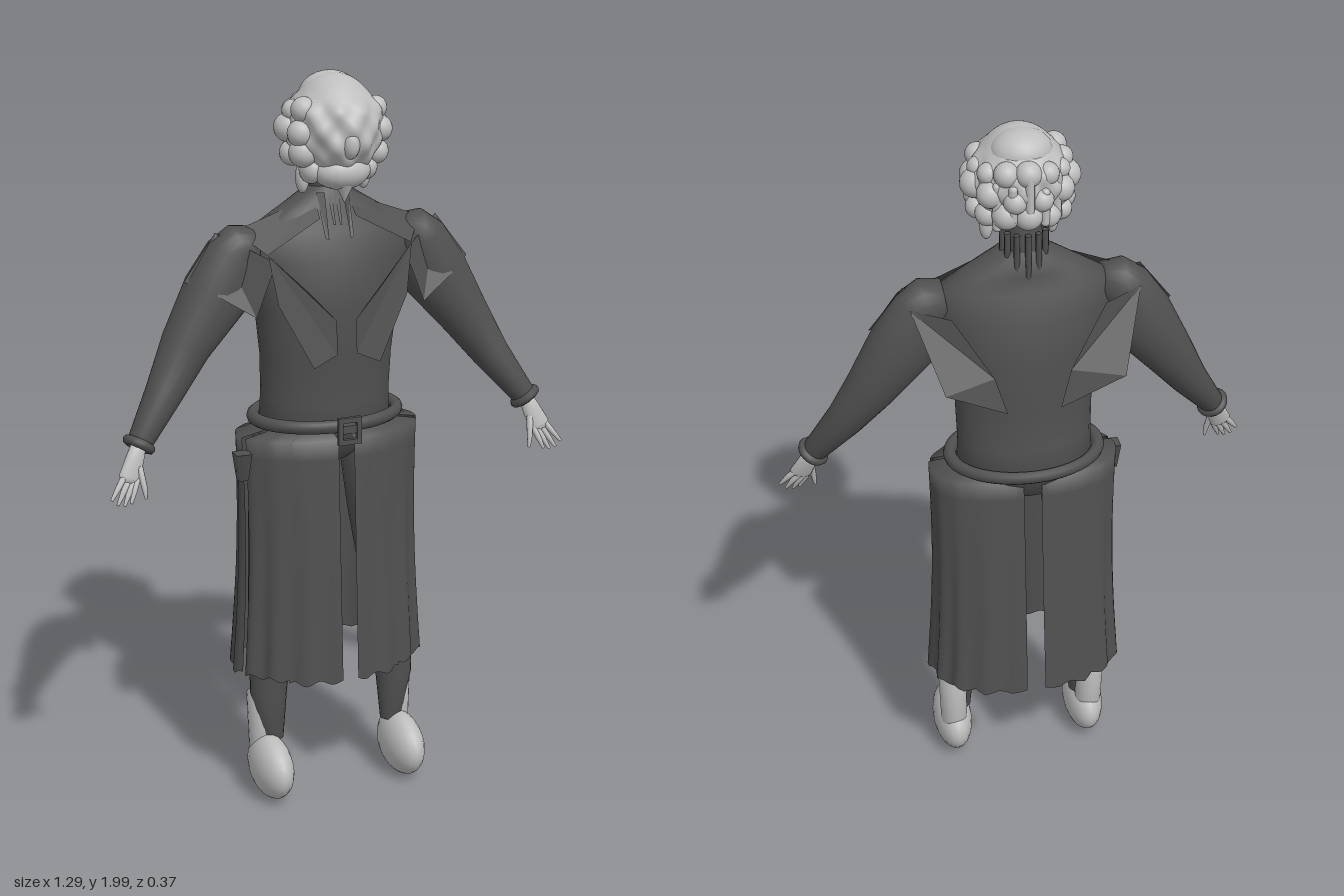
import * as THREE from 'three';

const light = new THREE.MeshStandardMaterial({ color: 0xbebebe });
light.name = 'pale grey';
const dark = new THREE.MeshStandardMaterial({ color: 0x505050, side: THREE.DoubleSide });
dark.name = 'dark cloth';

const V = (x, y, z) => new THREE.Vector3(x, y, z);

export function createModel() {
  const root = new THREE.Group();
  const add = (name, geo, mat, parent = root) => {
    const m = new THREE.Mesh(geo, mat);
    m.name = name;
    parent.add(m);
    return m;
  };

  // Closed tube through rows of [x, y, z, widthRadius, depthRadius]
  function loft(rows, n = 20, s = 1) {
    const c = rows.map(r => V(r[0] * s, r[1], r[2]));
    const pos = [], idx = [];
    rows.forEach((r, i) => {
      const t = c[Math.min(i + 1, c.length - 1)].clone().sub(c[Math.max(i - 1, 0)]).normalize();
      const u = t.clone().cross(V(0, 0, 1)).normalize();
      const v = t.clone().cross(u);
      for (let j = 0; j < n; j++) {
        const a = (j / n) * Math.PI * 2;
        const p = c[i].clone().addScaledVector(u, Math.cos(a) * r[3]).addScaledVector(v, Math.sin(a) * r[4]);
        pos.push(p.x, p.y, p.z);
        if (i < rows.length - 1) {
          const k = (j + 1) % n, A = i * n + j, B = i * n + k;
          idx.push(A, B, B + n, A, B + n, A + n);
        }
      }
    });
    const last = (rows.length - 1) * n, e = rows.length * n;
    pos.push(...c[0].toArray(), ...c[c.length - 1].toArray());
    for (let j = 0; j < n; j++) {
      const k = (j + 1) % n;
      idx.push(e, k, j, e + 1, last + j, last + k);
    }
    const g = new THREE.BufferGeometry();
    g.setAttribute('position', new THREE.Float32BufferAttribute(pos, 3));
    g.setIndex(idx);
    g.computeVertexNormals();
    return g;
  }

  // Flat cloth sheet from a fan of corners
  function sheet(pts, s = 1) {
    const pos = [];
    for (let i = 1; i < pts.length - 1; i++)
      for (const p of [pts[0], pts[i], pts[i + 1]]) pos.push(p[0] * s, p[1], p[2]);
    const g = new THREE.BufferGeometry();
    g.setAttribute('position', new THREE.Float32BufferAttribute(pos, 3));
    g.computeVertexNormals();
    return g;
  }

  const ball = (x, y, z, rx, ry = rx, rz = rx) =>
    new THREE.SphereGeometry(1, 20, 14).scale(rx, ry, rz).translate(x, y, z);

  // Coat body and neck
  add('coatBody', loft([
    [0, 0.95, 0, 0.05, 0.05], [0, 1.0, -0.01, 0.15, 0.1], [0, 1.08, -0.022, 0.182, 0.132],
    [0, 1.14, -0.018, 0.18, 0.122], [0, 1.25, -0.01, 0.183, 0.122], [0, 1.4, -0.005, 0.2, 0.128],
    [0, 1.52, -0.005, 0.235, 0.11], [0, 1.59, -0.005, 0.23, 0.08], [0, 1.64, -0.01, 0.15, 0.065],
    [0, 1.7, -0.015, 0.05, 0.05],
  ], 32), dark);
  add('neck', loft([[0, 1.6, -0.015, 0.052, 0.052], [0, 1.8, -0.01, 0.045, 0.045]], 16), dark);
  for (let i = 0; i < 7; i++) {
    const a = (i / 6) * Math.PI, x = Math.cos(a) * 0.056, z = -0.02 - Math.sin(a) * 0.05;
    add('neckStrand', new THREE.CylinderGeometry(0.009, 0.007, 0.15, 6).translate(x, 1.675, z), dark);
  }

  // Belt and buckle
  const belt = add('belt', new THREE.TorusGeometry(0.2, 0.018, 10, 48).rotateX(Math.PI / 2), dark);
  belt.scale.set(1, 1, 0.72);
  belt.position.set(0, 1.08, -0.017);
  for (const y of [1.045, 1.105]) add('buckleBar', new THREE.BoxGeometry(0.065, 0.014, 0.012).translate(0, y, 0.158), dark);
  for (const x of [-0.026, 0.026]) add('buckleSide', new THREE.BoxGeometry(0.013, 0.06, 0.012).translate(x, 1.075, 0.158), dark);
  add('bucklePin', new THREE.BoxGeometry(0.05, 0.022, 0.05).translate(0, 1.078, 0.135), dark);
  add('pouch', new THREE.CylinderGeometry(0.03, 0.018, 0.075, 4, 1).rotateY(Math.PI / 4).translate(-0.262, 0.975, 0.05), dark);

  // Skirt panel between two angles measured from the front
  function skirt(a0, a1, hem, s) {
    const g = new THREE.PlaneGeometry(1, 1, 24, 14), p = g.attributes.position;
    for (let i = 0; i < p.count; i++) {
      const u = p.getX(i) + 0.5, v = 0.5 - p.getY(i);
      const a = a0 + (a1 - a0) * u;
      const tuck = v < 0.01 ? 0.62 : 1;
      const fold = 1 + 0.025 * v * Math.sin(a * 17);
      const sn = Math.sin(a), cs = Math.cos(a), front = cs > 0;
      const pw = front ? 1.05 : 0.85;
      const x = Math.pow(Math.max(sn, 0), pw) * (0.258 + 0.012 * v - 0.012 * Math.sin(v * Math.PI));
      const zr = front ? 0.135 + 0.035 * v : 0.125 + 0.058 * v;
      const z = Math.sign(cs) * Math.pow(Math.abs(cs), pw) * zr;
      const y = 1.06 - Math.max(0, v - 0.05) * (1.06 - hem) / 0.95 + 0.006 * v * Math.sin(a * 23);
      p.setXYZ(i, s * Math.max(x * fold * tuck, 0.022), y, z * fold * tuck);
    }
    g.computeVertexNormals();
    return g;
  }

  for (const s of [1, -1]) {
    const side = new THREE.Group();
    side.name = s > 0 ? 'leftSide' : 'rightSide';
    root.add(side);
    const put = (name, geo, mat) => add(name, geo, mat, side);

    // Coat skirts: front, side and back panels
    put('frontSkirt', skirt(0.08, 0.68, 0.36, s), dark);
    put('sideSkirt', skirt(0.62, 1.3, 0.37, s), dark);
    put('backSkirt', skirt(1.4, 3.08, 0.365, s), dark);

    // Trousers, lower leg and foot
    put('trouserLeg', loft([
      [0.178, 0.16, 0.038, 0.03, 0.024], [0.188, 0.3, 0.033, 0.052, 0.042], [0.175, 0.5, 0.02, 0.062, 0.06],
      [0.145, 0.8, 0, 0.08, 0.08], [0.12, 1.04, -0.01, 0.085, 0.085],
    ], 20, s), dark);
    put('lowerLeg', loft([[0.2, 0.12, 0.017, 0.038, 0.04], [0.204, 0.295, 0.014, 0.04, 0.04]], 18, s), light);
    put('foot', ball(s * 0.197, 0.094, 0.07, 0.055, 0.088, 0.115), light);

    // Sleeve and cuff
    put('sleeve', loft([
      [0.205, 1.555, 0, 0.055, 0.05], [0.245, 1.55, 0, 0.07, 0.06], [0.258, 1.535, 0, 0.08, 0.062],
      [0.31, 1.44, 0, 0.092, 0.073], [0.4, 1.31, 0.01, 0.068, 0.063],
      [0.47, 1.2, 0.04, 0.05, 0.05], [0.552, 1.085, 0.08, 0.033, 0.034],
    ], 24, s), dark);
    put('sleeveHead', sheet([[0.31, 1.6, 0], [0.18, 1.53, 0.1], [0.235, 1.39, 0.1], [0.33, 1.45, 0.073], [0.4, 1.48, 0.01]], s), dark);
    const cuff = put('cuff', new THREE.TorusGeometry(0.032, 0.013, 8, 20), dark);
    cuff.position.set(s * 0.553, 1.083, 0.08);
    cuff.quaternion.setFromUnitVectors(V(0, 0, 1), V(s * 0.52, -0.8, 0.27).normalize());

    // Hand with fingers and thumb
    put('palm', loft([
      [0.553, 1.085, 0.08, 0.02, 0.018], [0.57, 1.045, 0.092, 0.026, 0.016],
      [0.588, 1.005, 0.105, 0.03, 0.013], [0.592, 0.993, 0.108, 0.022, 0.008],
    ], 14, s), light);
    [[0.568, 1.0, 0.592, 0.942], [0.58, 0.996, 0.61, 0.938], [0.593, 0.998, 0.628, 0.942], [0.604, 1.008, 0.644, 0.957]]
      .forEach(([x0, y0, x1, y1]) => put('finger', loft([
        [x0, y0, 0.106, 0.009, 0.009], [(x0 + x1) / 2, (y0 + y1) / 2, 0.118, 0.008, 0.008], [x1, y1, 0.128, 0.004, 0.004],
      ], 8, s), light));
    put('thumb', loft([[0.56, 1.03, 0.1, 0.01, 0.01], [0.553, 0.98, 0.118, 0.008, 0.008], [0.55, 0.948, 0.122, 0.004, 0.004]], 8, s), light);

    // Shoulder panel, lapel, back flap and collar tips
    put('shoulderPanel', sheet([[0.045, 1.68, 0.02], [0.26, 1.6, 0.005], [0.2, 1.55, 0.09], [0.05, 1.63, 0.075]], s), dark);
    put('lapel', sheet([[0.2, 1.55, 0.095], [0.1, 1.45, 0.128], [0.027, 1.37, 0.135], [0.027, 1.28, 0.14], [0.093, 1.25, 0.142], [0.18, 1.42, 0.115]], s), dark);
    put('backFlap', sheet([[0.1, 1.38, -0.13], [0.07, 1.28, -0.148], [0.235, 1.37, -0.172], [0.3, 1.56, -0.05], [0.2, 1.54, -0.085]], s), dark);
    put('collarTip', sheet([[0.045, 1.69, 0.035], [0.025, 1.69, 0.045], [0.03, 1.575, 0.09], [0.04, 1.58, 0.088]], s), dark);
    put('innerCollarTip', sheet([[0.016, 1.68, 0.045], [0.004, 1.68, 0.045], [0.006, 1.61, 0.075], [0.012, 1.61, 0.075]], s), dark);
  }

  // Head: smooth crown, lumpy curls from brow to jaw
  const head = new THREE.SphereGeometry(1, 96, 64), hp = head.attributes.position;
  for (let i = 0; i < hp.count; i++) {
    const x = hp.getX(i), y = hp.getY(i), z = hp.getZ(i);
    const a = Math.atan2(x, z);
    const band = THREE.MathUtils.smoothstep(0.75 - y, 0, 0.4) * THREE.MathUtils.smoothstep(y, -1, -0.75);
    const k = 1 + band * (0.1 + 0.055 * Math.cos(10 * a) * Math.sin(9 * y + 1) + 0.025 * Math.sin(7 * a + 5 * y));
    hp.setXYZ(i, x * k * 0.114, y * 0.135 + 1.863, z * k * 0.122 + 0.042);
  }
  head.computeVertexNormals();
  add('head', head, light);
  add('crown', ball(0, 1.942, 0.015, 0.08, 0.058, 0.07), light);
  add('nose', ball(0, 1.835, 0.155, 0.024, 0.04, 0.03), light);
  add('chin', ball(0, 1.755, 0.1, 0.076, 0.047, 0.055), light);
  add('beard', new THREE.ConeGeometry(0.034, 0.07, 12).rotateX(Math.PI).translate(0, 1.71, 0.118), light);

  // Curls around the sides and back: [height, ring radius, curl radius, count]
  [[1.91, 0.108, 0.03, 9], [1.855, 0.118, 0.034, 8], [1.8, 0.11, 0.034, 9]].forEach(([y, r, cr, n], row) => {
    for (let i = 0; i < n; i++) {
      const a = 1.15 + (i / (n - 1)) * (Math.PI * 2 - 2.3);
      const wob = 0.008 * Math.sin(i * 5 + row * 3);
      add('curl', ball(Math.sin(a) * r, y + wob, 0.04 + Math.cos(a) * r, cr + wob * 0.5), light);
    }
  });

  // Side locks and hanging strands at the back
  for (const s of [1, -1]) {
    add('sideLock', ball(s * 0.085, 1.735, 0.04, 0.018, 0.042, 0.02), light);
    add('jawCurl', ball(s * 0.075, 1.76, 0.075, 0.03, 0.036, 0.04), light);
  }
  for (let i = 0; i < 7; i++) {
    const a = (i - 3) * 0.36, len = 0.08 + 0.03 * (i % 2);
    add('hairStrand', new THREE.CapsuleGeometry(0.012, len, 4, 8)
      .translate(Math.sin(a) * 0.115, 1.86 - 0.015 * (i % 3), 0.045 - Math.cos(a) * 0.135), light);
  }
  return root;
}
